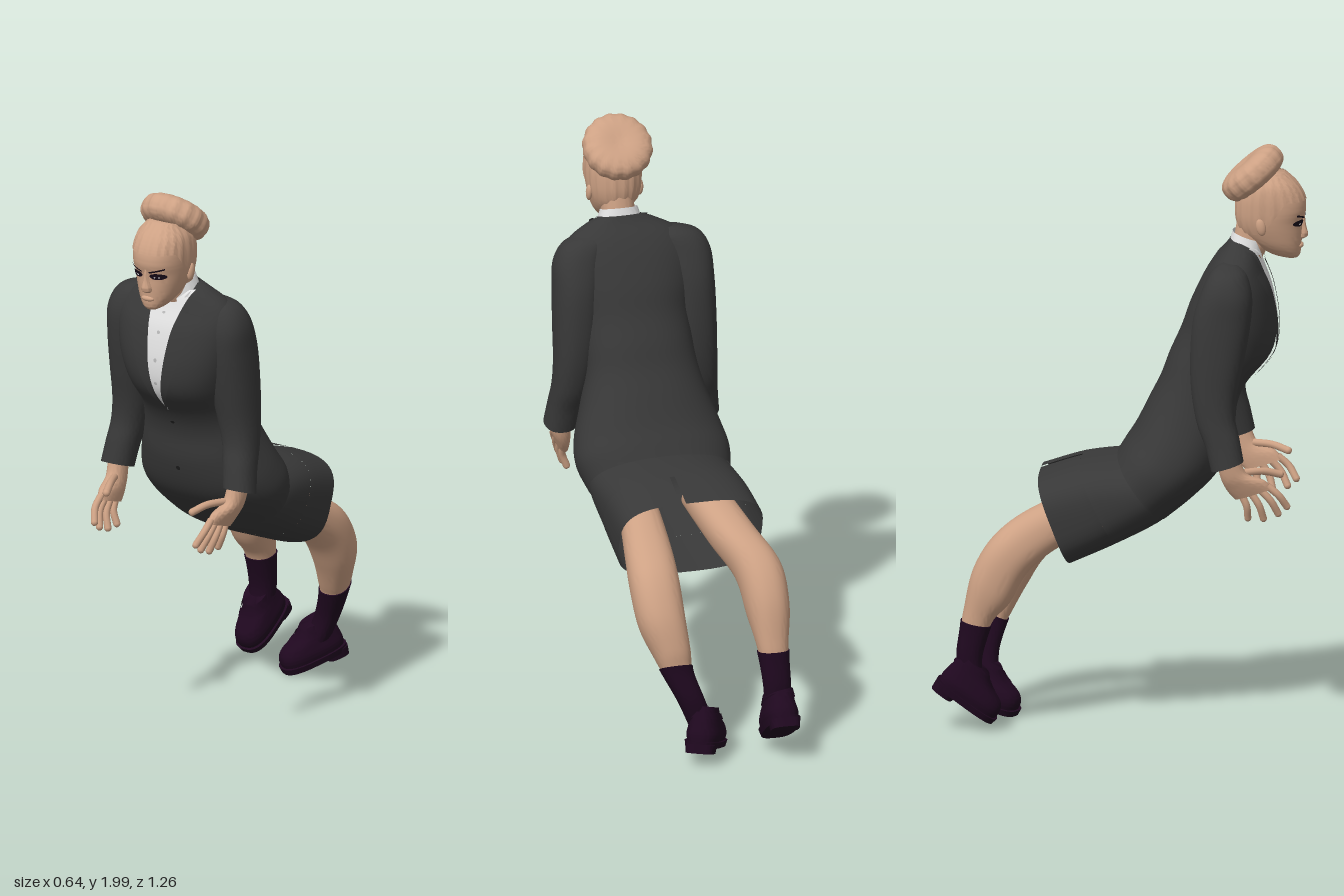
import * as THREE from 'three';
import { mergeVertices, toCreasedNormals } from 'three/addons/utils/BufferGeometryUtils.js';

const mat = (name, color) => {
  const m = new THREE.MeshStandardMaterial({ color, side: THREE.DoubleSide });
  m.name = name;
  return m;
};
const V = (x, y, z) => new THREE.Vector3(x, y, z);
const E = 0.88; // default roundness of the cross-sections, smaller is boxier

// Surface from a rule f(u, v), u and v in 0..1
function grid(nu, nv, f) {
  const pos = [], idx = [];
  for (let i = 0; i <= nu; i++) for (let j = 0; j <= nv; j++) pos.push(...f(i / nu, j / nv).toArray());
  for (let i = 0; i < nu; i++) for (let j = 0; j < nv; j++) {
    const a = i * (nv + 1) + j, b = a + nv + 1;
    idx.push(a, a + 1, b, a + 1, b + 1, b);
  }
  const g = new THREE.BufferGeometry();
  g.setAttribute('position', new THREE.Float32BufferAttribute(pos, 3));
  g.setIndex(idx);
  return toCreasedNormals(mergeVertices(g, 1e-5), 0.95);
}

// Section: [centre x, half width, front z, front y, back z, back y, roundness], smoothly interpolated
function sample(secs, s) {
  const n = secs.length - 1, i = Math.min(Math.floor(s), n - 1), t = s - i;
  const at = (k) => secs[Math.max(0, Math.min(n, k))];
  return secs[0].map((_, k) => {
    const a = at(i - 1)[k], b = at(i)[k], c = at(i + 1)[k], d = at(i + 2)[k];
    return b + 0.5 * t * (c - a + t * (2 * a - 5 * b + 4 * c - d + t * (3 * (b - c) + d - a)));
  });
}
const power = (w, e) => Math.sign(w) * Math.abs(w) ** e;
function surf(secs, s, th, off = 0) {
  const [cx, hw, zf, yf, zb, yb, e = E] = sample(secs, s);
  const len = Math.hypot(zf - zb, yf - yb) || 1, c = power(Math.cos(th), e) * (0.5 + off / len);
  return V(cx + (hw + off) * power(Math.sin(th), e), (yf + yb) / 2 + c * (yf - yb), (zf + zb) / 2 + c * (zf - zb));
}
function loft(secs, { caps = true, from = 0, to = secs.length - 1, a0 = -Math.PI, a1 = Math.PI, off = 0 } = {}) {
  const down = secs[0][3] + secs[0][5] > secs.at(-1)[3] + secs.at(-1)[5];
  const n = Math.ceil((to - from) * 6), N = caps ? n + 2 : n;
  return grid(N, 48, (u, v) => {
    let k = Math.round(u * N) - (caps ? 1 : 0);
    const end = k < 0 || k > n;
    k = Math.max(0, Math.min(n, k));
    if (down) k = n - k;
    const s = from + (to - from) * k / n;
    if (end) {
      const q = sample(secs, s);
      return V(q[0], (q[3] + q[5]) / 2, (q[2] + q[4]) / 2);
    }
    return surf(secs, s, a0 + (a1 - a0) * v, off);
  });
}
// Point on the front of a loft at a sideways distance dx
function on(secs, s, dx, off) {
  const hw = sample(secs, s)[1];
  const th = Math.sign(dx) * Math.asin(Math.min(0.98, Math.abs(dx) / hw) ** (1 / E));
  return surf(secs, s, th, off);
}
const spot = (secs, s, dx, rx, rs, off) => grid(3, 20, (u, v) =>
  on(secs, s + u * rs * Math.sin(-v * 2 * Math.PI), dx + u * rx * Math.cos(v * 2 * Math.PI), off));

const TORSO = [
  [.005, .25, .153, .71, -.015, .935], [.012, .268, .25, .79, .01, .975], [.015, .255, .33, .875, .045, 1.03],
  [.015, .22, .375, .99, .09, 1.12], [.015, .195, .39, 1.1, .13, 1.2], [.02, .19, .425, 1.18, .16, 1.28],
  [.025, .2, .505, 1.28, .2, 1.37], [.025, .22, .523, 1.38, .232, 1.46], [.028, .228, .505, 1.5, .275, 1.55],
  [.035, .2, .475, 1.58, .312, 1.608], [.045, .12, .455, 1.635, .35, 1.652], [.047, .07, .44, 1.655, .365, 1.675]];
const SKIRT = [[.005, .225, .19, .78, .04, .93, E], [.003, .247, .15, .71, -.012, .93, E],
  [-.01, .252, -.005, .632, -.14, .91, .7], [-.02, .253, -.164, .565, -.28, .865, .6]];
const HEAD = [
  [.047, .018, .592, 1.607, .55, 1.607], [.047, .04, .602, 1.62, .5, 1.622], [.047, .063, .606, 1.65, .44, 1.66],
  [.047, .078, .609, 1.69, .4, 1.7], [.047, .088, .611, 1.735, .387, 1.735], [.047, .093, .622, 1.775, .383, 1.775],
  [.047, .093, .617, 1.82, .388, 1.825], [.047, .084, .592, 1.865, .41, 1.865], [.047, .055, .55, 1.905, .45, 1.9]];
const NOSE = [[.047, .014, .612, 1.672, .57, 1.672], [.047, .02, .629, 1.685, .57, 1.685],
  [.047, .012, .622, 1.72, .57, 1.72], [.047, .008, .617, 1.765, .58, 1.765]];
const ARM = [
  [.14, .035, .405, 1.615, .35, 1.62], [.165, .075, .435, 1.585, .315, 1.597], [.19, .085, .455, 1.515, .285, 1.54],
  [.202, .08, .45, 1.42, .255, 1.44], [.208, .077, .43, 1.3, .245, 1.31], [.218, .068, .405, 1.18, .25, 1.19],
  [.23, .06, .4, 1.1, .27, 1.08], [.242, .056, .415, 1.03, .3, 1.0], [.253, .055, .43, .955, .32, .92]];
const PALM = [[.248, .032, .415, .97, .34, .94], [.242, .031, .44, .91, .355, .885],
  [.233, .027, .5, .885, .375, .845], [.226, .02, .525, .855, .4, .815]];
const LEFT_LEG = [[.115, .065, 0, .71, -.08, .83], [.125, .08, -.16, .615, -.235, .735], [.135, .085, -.27, .53, -.365, .66],
  [.13, .08, -.335, .43, -.45, .54], [.105, .062, -.385, .34, -.485, .42], [.09, .05, -.405, .3, -.49, .335],
  [.05, .042, -.43, .21, -.51, .235], [.012, .04, -.425, .12, -.505, .14]];
const RIGHT_LEG = [[-.12, .075, 0, .72, -.06, .85], [-.165, .08, -.18, .645, -.275, .775], [-.22, .08, -.3, .56, -.41, .69],
  [-.235, .073, -.365, .45, -.49, .57], [-.237, .055, -.42, .39, -.525, .42], [-.24, .047, -.445, .33, -.535, .35],
  [-.245, .043, -.465, .25, -.545, .27], [-.248, .04, -.46, .17, -.54, .2]];
const SHOE = [[0, .054, .12, 0, -.108, 0, .72], [0, .061, .124, .03, -.112, .03, .75], [0, .056, .108, .06, -.108, .06, .8],
  [0, .048, .05, .088, -.1, .1, .85], [0, .044, .02, .118, -.095, .13, .88]];
const SOLE = [[0, .059, .126, -.014, -.113, -.014, .7], [0, .065, .13, .008, -.117, .008, .7]];
const HEEL = [[0, .049, -.03, -.032, -.113, -.032, .6], [0, .053, -.025, 0, -.116, 0, .6]];

export function createModel() {
  const skin = mat('skin and hair', 0xcda184), cloth = mat('charcoal cloth', 0x383838), shirt = mat('white shirt', 0xe2e2e2),
    plum = mat('dark plum', 0x1f081f), paint = mat('eye paint', 0x160a18), white = mat('eye white', 0xf0f0f0),
    button = mat('button', 0xb8b8b8), black = mat('black', 0x1c1c1c);
  const root = new THREE.Group();
  const add = (name, geo, m, parent = root) => {
    const mesh = new THREE.Mesh(geo, m);
    mesh.name = name;
    parent.add(mesh);
    return mesh;
  };

  // Jacket, lapels, shirt front
  add('jacket', loft(TORSO, { caps: false }), cloth);
  const vee = (t) => 0.08 * t ** 0.9, level = (t) => 5.2 + 5.2 * t;
  add('shirtFront', grid(32, 12, (u, v) => on(TORSO, level(u), (2 * v - 1) * vee(u), .003)), shirt);
  for (const d of [-1, 1]) {
    add('lapel', grid(40, 6, (u, v) => {
      const w = u > .7 ? .05 * (1.3 - u) : .085 * Math.min(1, u * 1.5);
      return on(TORSO, level(u), d * (vee(u) + (d > 0 ? v : 1 - v) * w), .01);
    }), cloth);
    add('collarWing', grid(5, 5, (u, v) =>
      on(TORSO, 9.2 + 1.4 * u, d * (.046 + u * ((d > 0 ? v : 1 - v) * .06 - .042)), .015)), shirt);
  }
  for (const s of [6.4, 7.2, 8, 8.8]) add('shirtButton', spot(TORSO, s, 0, .006, .06, .007), button);
  for (const s of [2.85, 4.6]) add('jacketButton', spot(TORSO, s, 0, .008, .07, .006), black);
  add('shirtCollar', loft([[.047, .078, .477, 1.62, .36, 1.655], [.047, .064, .478, 1.665, .372, 1.7]], { caps: false }), shirt);

  // Skirt with a slit in the back
  const slit = Math.PI - .052;
  add('skirtUpper', loft(SKIRT, { caps: false, to: 2 }), cloth);
  add('skirtLower', loft(SKIRT, { caps: false, from: 2, a0: slit + .02 - 2 * Math.PI, a1: slit - .02 }), cloth);

  // Head
  add('neck', loft([[.047, .054, .47, 1.6, .37, 1.64], [.047, .058, .52, 1.69, .388, 1.74]]), skin);
  add('head', loft(HEAD), skin);
  add('nose', loft(NOSE), skin);
  add('hair', grid(18, 144, (u, v) => {
    const th = (2 * v - 1) * Math.PI;
    const low = 3 + 2.8 * THREE.MathUtils.smoothstep(Math.cos(th), -.3, .5);
    return surf(HEAD, low + (8 - low) * u, th, .002 + .0015 * Math.sin(th * 20));
  }), skin);
  const lips = add('lips', new THREE.SphereGeometry(1, 16, 10), skin);
  lips.position.set(.047, 1.65, .602);
  lips.scale.set(.026, .01, .012);
  for (const d of [-1, 1]) {
    add('eyeShadow', spot(HEAD, 4.0, d * .04, .026, .27, .003), paint);
    add('eye', spot(HEAD, 3.93, d * .038, .01, .07, .005), white);
    add('pupil', spot(HEAD, 3.93, d * .038, .005, .09, .007), paint);
    add('brow', grid(3, 10, (u, v) => {
      const t = d > 0 ? v : 1 - v;
      return on(HEAD, 4.25 + .4 * t + .15 * u, d * (.014 + .05 * t), .004);
    }), paint);
    const ear = add('ear', new THREE.SphereGeometry(1, 14, 10), skin);
    ear.position.set(.047 + d * .09, 1.728, .475);
    ear.scale.set(.011, .03, .017);
    ear.rotation.x = -.2;
  }

  // Ridged hair bun, dimpled in the middle
  const bun = add('bun', grid(28, 120, (u, v) => {
    const a = Math.PI * (1 - u), b = v * 2 * Math.PI, s = Math.max(0, Math.sin(a));
    const r = .12 * s ** .8 * (1 + .018 * Math.sin(b * 16));
    return V(r * Math.sin(b), power(Math.cos(a), .75) * (.058 - .014 * (1 - s) ** 2), r * Math.cos(b));
  }), skin);
  bun.position.set(.047, 1.898, .44);
  bun.rotation.x = -.72;

  // Arms and hands
  const tips = [[.51, .865, .575, .79], [.485, .852, .545, .765], [.455, .838, .495, .747], [.424, .828, .442, .748]];
  for (const d of [-1, 1]) {
    const X = (x) => .017 + d * x;
    const place = (secs) => secs.map(([x, ...rest]) => [X(x), ...rest]);
    add('sleeve', loft(place(ARM)), cloth);
    const hand = new THREE.Group();
    hand.name = d > 0 ? 'leftHand' : 'rightHand';
    root.add(hand);
    add('palm', loft(place(PALM)), skin, hand);
    const finger = (name, pts, r) => {
      add(name, new THREE.TubeGeometry(new THREE.CatmullRomCurve3(pts), 10, r, 10), skin, hand);
      add(name + 'Tip', new THREE.SphereGeometry(r, 10, 8), skin, hand).position.copy(pts.at(-1));
    };
    for (const [z0, y0, z1, y1] of tips)
      finger('finger', [V(X(.228), y0, z0), V(X(.226), (y0 + y1) / 2 + .004, (z0 + z1) / 2 + .006), V(X(.21), y1, z1)], .0125);
    finger('thumb', [V(X(.228), .91, .43), V(X(.2), .91, .495), V(X(.178), .895, .55)], .013);
  }

  // Legs, socks and shoes
  const feet = [['left', LEFT_LEG, 4.7, V(-.003, .06, -.465), .3, -.5],
    ['right', RIGHT_LEG, 4.4, V(-.252, .115, -.52), .62, -.05]];
  for (const [side, leg, sockTop, at, pitch, yaw] of feet) {
    add(side + 'Leg', loft(leg, { to: 5 }), skin);
    add(side + 'Sock', loft(leg, { from: sockTop, off: .004 }), plum);
    const shoe = new THREE.Group();
    shoe.name = side + 'Shoe';
    shoe.position.copy(at);
    shoe.rotation.set(pitch, yaw, 0, 'YXZ');
    root.add(shoe);
    add('upper', loft(SHOE), plum, shoe);
    add('sole', loft(SOLE), plum, shoe);
    add('heel', loft(HEEL), plum, shoe);
    add('strap', loft(SHOE, { caps: false, from: 2.7, to: 3.3, off: .005 }), plum, shoe);
  }
  return root;
}
